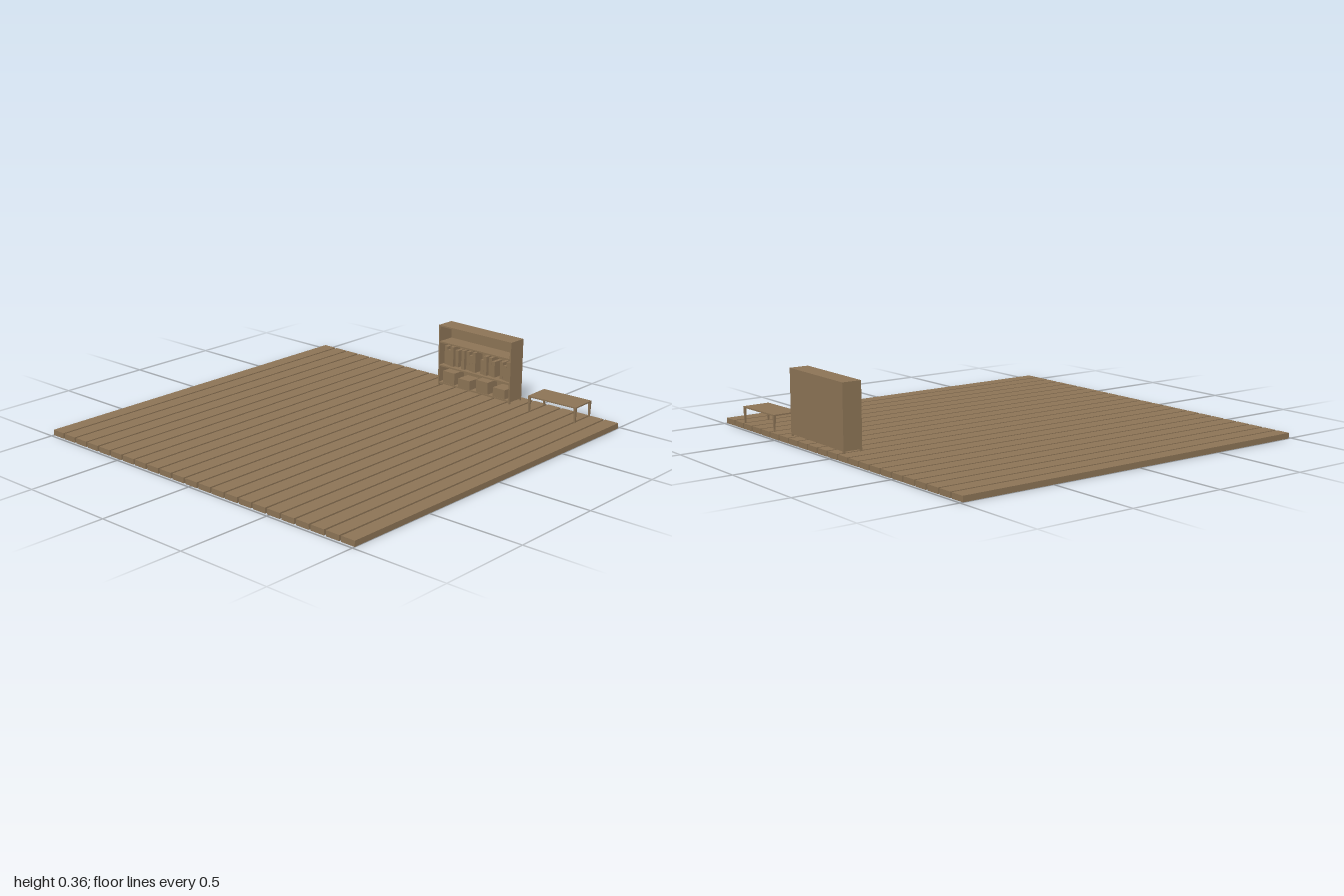
import * as THREE from 'three';

const wood = new THREE.MeshStandardMaterial({ color: 0x8b7355 });
wood.name = 'brown wood';

// Adds a named box to a group: size (w, h, d), centre (x, y, z)
function box(group, name, w, h, d, x, y, z) {
  const mesh = new THREE.Mesh(new THREE.BoxGeometry(w, h, d), wood);
  mesh.name = name;
  mesh.position.set(x, y, z);
  group.add(mesh);
  return mesh;
}

const FLOOR = 0.028;

// Deck of separate planks running along x
function createDeck() {
  const deck = new THREE.Group();
  deck.name = 'deck';
  const count = 23, width = 0.076, pitch = (2 - width) / (count - 1);
  for (let i = 0; i < count; i++) {
    box(deck, 'plank', 1.97, FLOOR, width, 0, FLOOR / 2, -1 + width / 2 + i * pitch);
  }
  return deck;
}

// Bookcase, open towards -x
function createBookcase() {
  const g = new THREE.Group();
  g.name = 'bookcase';
  const W = 0.1, H = 0.332, L = 0.484, t = 0.008, foot = 0.01;
  const inner = L - 2 * t;

  for (const s of [-1, 1]) {
    box(g, 'sidePanel', W, H - foot, t, 0, foot + (H - foot) / 2, s * (L - t) / 2);
    for (const e of [-1, 1]) {
      box(g, 'foot', 0.01, foot, t, e * (W / 2 - 0.005), foot / 2, s * (L - t) / 2);
    }
  }
  box(g, 'backPanel', 0.005, H - foot, inner, W / 2 - 0.0025, foot + (H - foot) / 2, 0);
  box(g, 'topBoard', W, t, inner, 0, H - t / 2, 0);
  for (const y of [foot, 0.105, 0.235]) {
    box(g, 'shelf', W - 0.005, t, inner, -0.0025, y + t / 2, 0);
  }

  // Groups of upright books on the middle shelf
  const heights = [0.1, 0.085, 0.108, 0.092, 0.078, 0.104];
  for (let i = 0; i < 18; i++) {
    if (i % 5 === 4) continue;
    const h = heights[i % heights.length];
    box(g, 'book', 0.06, h, 0.02, 0.008 - 0.006 * (i % 3), 0.113 + h / 2, -0.213 + i * 0.025);
  }

  // Storage boxes on the bottom shelf
  for (let i = 0; i < 4; i++) {
    const h = i % 2 ? 0.05 : 0.065;
    box(g, 'storageBox', 0.08, h, 0.078, i === 1 ? -0.018 : -0.008, 0.018 + h / 2, -0.17 + i * 0.113);
  }

  g.position.set(0.904, FLOOR, 0.185);
  g.rotation.y = -0.024;
  return g;
}

// Low table with four tapered square legs
function createTable() {
  const g = new THREE.Group();
  g.name = 'table';
  const W = 0.145, L = 0.286, top = 0.084, t = 0.007;
  box(g, 'tableTop', W, t, L, 0, top - t / 2, 0);
  const legGeometry = new THREE.CylinderGeometry(0.0085, 0.005, top - t, 4).rotateY(Math.PI / 4).toNonIndexed();
  legGeometry.computeVertexNormals();
  for (const x of [-1, 1]) {
    for (const z of [-1, 1]) {
      const leg = new THREE.Mesh(legGeometry, wood);
      leg.name = 'tableLeg';
      leg.position.set(x * (W / 2 - 0.006), (top - t) / 2, z * (L / 2 - 0.006));
      g.add(leg);
    }
  }
  g.position.set(0.901, FLOOR, 0.7);
  g.rotation.y = 0.03;
  return g;
}

export function createModel() {
  const model = new THREE.Group();
  model.name = 'furnishedDeck';
  model.add(createDeck(), createBookcase(), createTable());
  return model;
}
